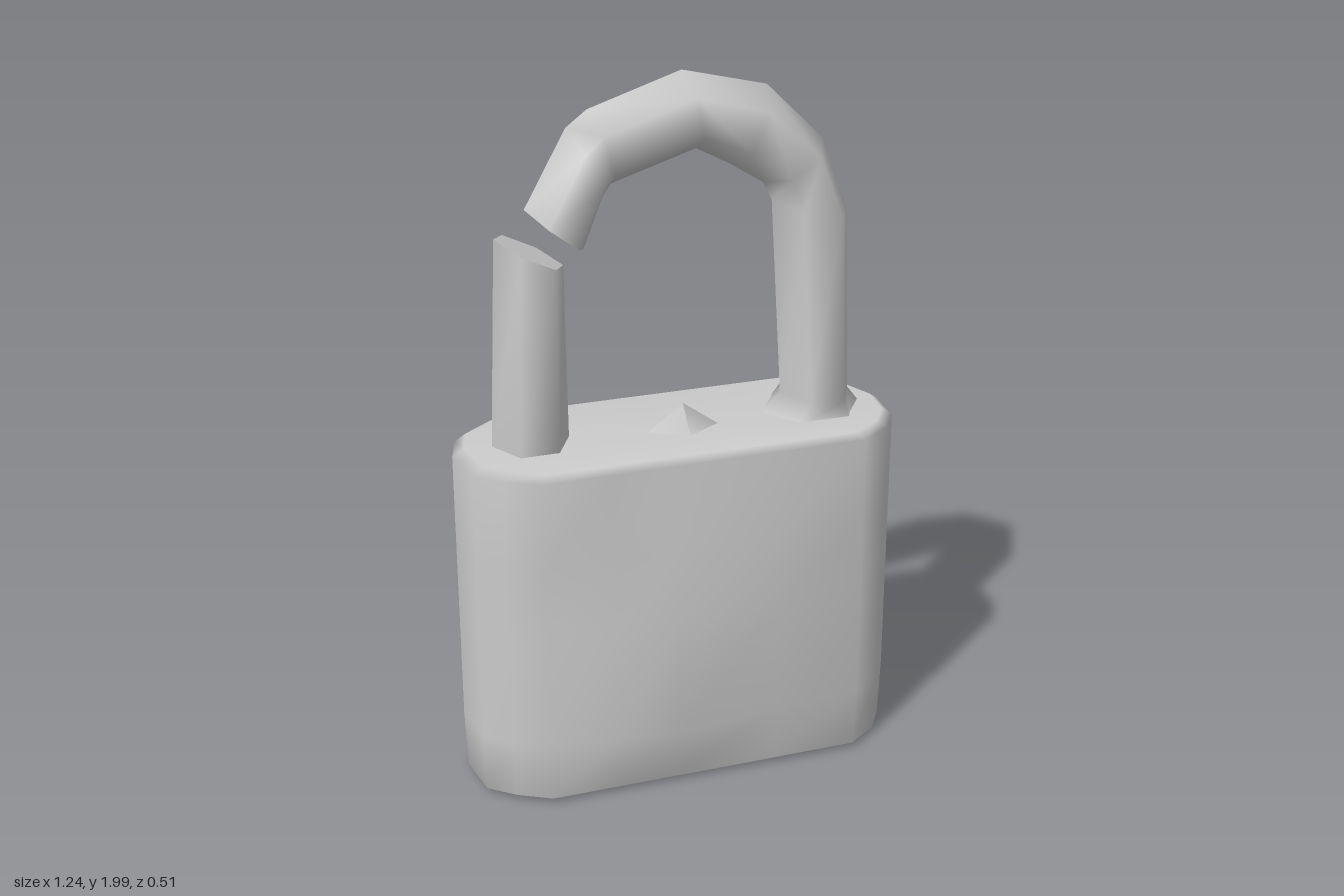
import * as THREE from 'three';

const material = new THREE.MeshStandardMaterial({ color: 0xcccccc });

// Skin a stack of rings (arrays of [x, y, z]) and close both ends.
function loft(name, rings, sharpCaps) {
  const n = rings[0].length, pos = [], index = [];
  rings.forEach(r => r.forEach(p => pos.push(...p)));
  for (let j = 0; j < rings.length - 1; j++) {
    for (let i = 0; i < n; i++) {
      const k = (i + 1) % n, a = j * n + i, b = j * n + k;
      index.push(a, a + n, b, b, a + n, b + n);
    }
  }
  [0, rings.length - 1].forEach(j => {
    const ring = rings[j];
    let start = j * n;
    if (sharpCaps) {
      start = pos.length / 3;
      ring.forEach(p => pos.push(...p));
    }
    const centre = pos.length / 3;
    pos.push(...[0, 1, 2].map(c => ring.reduce((s, p) => s + p[c], 0) / n));
    for (let i = 0; i < n; i++) {
      const a = start + i, b = start + (i + 1) % n;
      if (j === 0) index.push(centre, a, b);
      else index.push(centre, b, a);
    }
  });
  const geo = new THREE.BufferGeometry();
  geo.setAttribute('position', new THREE.Float32BufferAttribute(pos, 3));
  geo.setIndex(index);
  geo.computeVertexNormals();
  const mesh = new THREE.Mesh(geo, material);
  mesh.name = name;
  return mesh;
}

// Six-sided bar; each section: outer x, y, inner x, y, z centre, z radius.
function bar(name, sections) {
  const rings = sections.map(([ox, oy, ix, iy, z, rz]) => {
    const ring = [];
    for (let i = 0; i < 6; i++) {
      const a = i * Math.PI / 3, c = Math.cos(a) / 2;
      ring.push([(ox + ix) / 2 + (ox - ix) * c, (oy + iy) / 2 + (oy - iy) * c, z + rz * Math.sin(a)]);
    }
    return ring;
  });
  return loft(name, rings, true);
}

export function createModel() {
  const group = new THREE.Group();
  group.name = 'brokenPadlock';

  // Body outline: x, z and how far the dented front swells there
  const outline = [
    [0.62, -0.05, 0], [0.61, 0.06, 0], [0.56, 0.14, 0], [0.47, 0.2, 0],
    [0.22, 0.2, 0.015], [-0.08, 0.2, 0.053], [-0.25, 0.2, 0.028], [-0.44, 0.2, 0],
    [-0.53, 0.15, 0], [-0.6, 0.09, 0], [-0.62, -0.05, 0], [-0.59, -0.15, 0],
    [-0.45, -0.255, 0], [0, -0.255, 0], [0.47, -0.255, 0], [0.57, -0.17, 0]
  ];
  // Body levels: height, outline scale, swelling
  const levels = [
    [0.012, 0.88, 0], [0.03, 0.99, 0], [0.2, 1, 1], [0.54, 1, 1],
    [0.74, 1, 0.35], [0.99, 1, 0], [1.012, 0.95, 0]
  ];
  group.add(loft('body', levels.map(([y, s, swell]) =>
    outline.map(([x, z, b]) => [x * s, y, z * s + b * swell])), false));

  // Long leg and arch, swung slightly towards the front at the cut end
  group.add(bar('shackle', [
    [0.55, 1.0, 0.24, 1.0, -0.025, 0.13],
    [0.512, 1.05, 0.31, 1.06, -0.035, 0.115],
    [0.495, 1.57, 0.275, 1.62, -0.035, 0.115],
    [0.415, 1.78, 0.25, 1.67, -0.035, 0.115],
    [0.25, 1.94, 0.15, 1.735, -0.02, 0.115],
    [0.01, 2.0, 0.05, 1.79, -0.005, 0.115],
    [-0.25, 1.925, -0.19, 1.725, 0.02, 0.11],
    [-0.31, 1.885, -0.215, 1.695, 0.03, 0.11],
    [-0.43, 1.69, -0.275, 1.57, 0.055, 0.11]
  ]));

  // Short leg with a slanted cut
  group.add(bar('shackleStub', [
    [-0.3, 1.0, -0.515, 1.0, -0.035, 0.115],
    [-0.305, 1.5, -0.49, 1.59, -0.035, 0.11]
  ]));

  // Small raised point on top of the body
  const nub = new THREE.Mesh(new THREE.ConeGeometry(0.11, 0.08, 4), material);
  nub.name = 'topNub';
  nub.position.set(0.01, 1.045, 0.01);
  nub.scale.z = 0.6;
  group.add(nub);

  return group;
}
